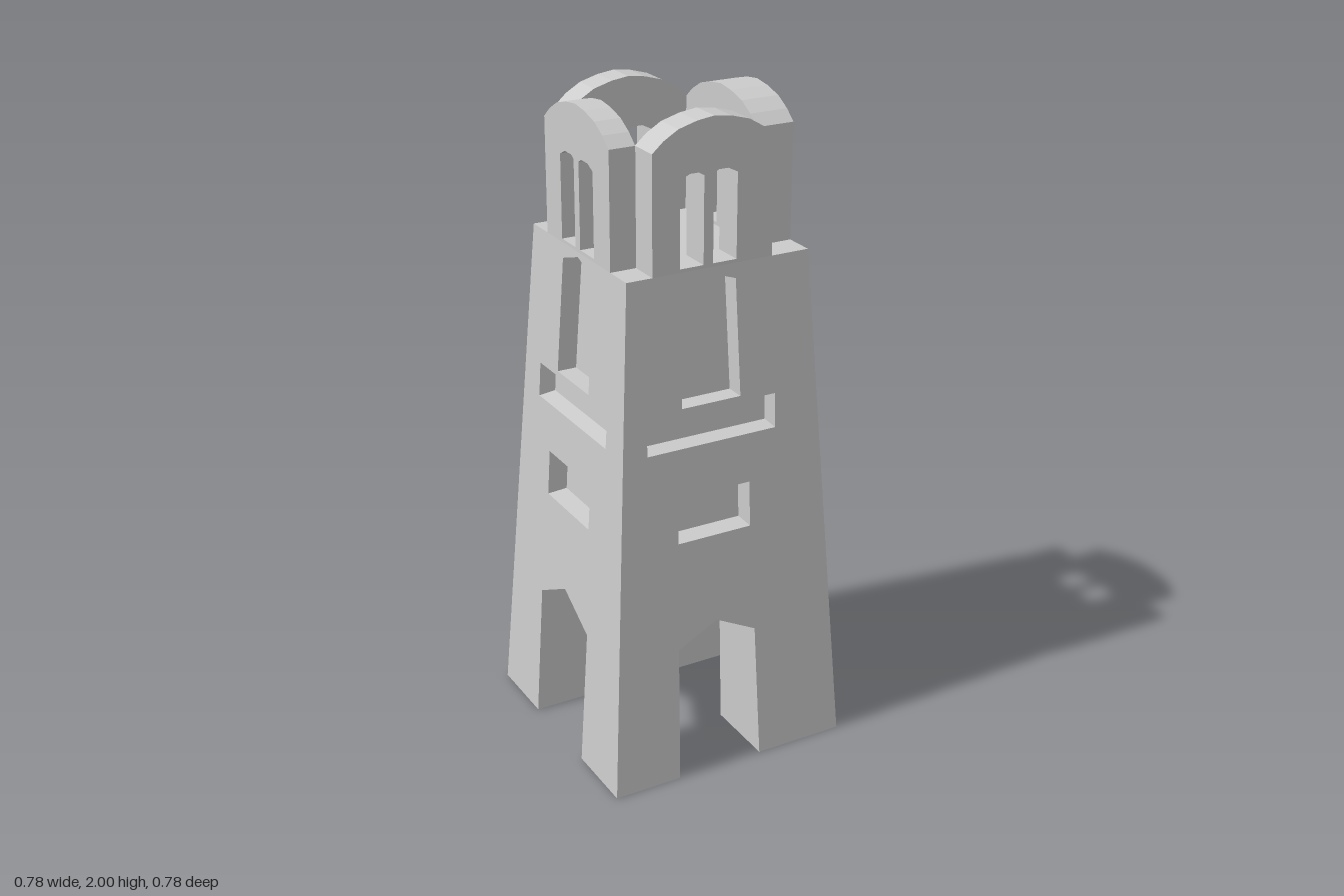
import * as THREE from 'three';

const TOP = 1.575, BASE = 0.39, NECK = 0.29;
const OFF = -0.035; // openings on front and back sit slightly off centre
const wallAt = (y) => BASE - (BASE - NECK) * y / TOP;

const mat = new THREE.MeshStandardMaterial({ color: 0xcccccc, flatShading: true });

function add(parent, name, geometry) {
  const mesh = new THREE.Mesh(geometry, mat);
  mesh.name = name;
  parent.add(mesh);
  return mesh;
}

const vecs = (pts) => pts.map(([x, y]) => new THREE.Vector2(x, y));

// Flat sheet with holes, leaned onto the tapering wall
function leaningSheet(outline, holes = [], depth = 0) {
  const shape = new THREE.Shape(vecs(outline));
  holes.forEach((h) => shape.holes.push(new THREE.Path(vecs(h))));
  const geo = new THREE.ShapeGeometry(shape);
  const p = geo.attributes.position;
  for (let i = 0; i < p.count; i++) p.setZ(i, wallAt(p.getY(i)) - depth);
  geo.computeVertexNormals();
  return geo;
}

// Strip of quads between two matching rows of points
function loft(a, b, closed) {
  const pos = [];
  const n = a.length;
  for (let i = 0; i < (closed ? n : n - 1); i++) {
    const j = (i + 1) % n;
    pos.push(...a[i], ...a[j], ...b[j], ...a[i], ...b[j], ...b[i]);
  }
  const geo = new THREE.BufferGeometry();
  geo.setAttribute('position', new THREE.Float32BufferAttribute(pos, 3));
  geo.computeVertexNormals();
  return geo;
}

const onWall = (pts, depth = 0) => pts.map(([x, y]) => [x, y, wallAt(y) - depth]);
const rect = (c, h, y0, y1) => [[c - h, y0], [c + h, y0], [c + h, y1], [c - h, y1]];

function recess(side, name, pts, depth, inset) {
  const cx = pts.reduce((s, p) => s + p[0], 0) / pts.length;
  const cy = pts.reduce((s, p) => s + p[1], 0) / pts.length;
  const inner = pts.map(([x, y]) => [x - Math.sign(x - cx) * inset * 0.6, y - Math.sign(y - cy) * inset]);
  add(side, name + 'Reveal', loft(onWall(pts), onWall(inner, depth), true));
  add(side, name + 'Back', leaningSheet(inner, [], depth));
}

function buildSide(o) {
  const side = new THREE.Group();
  side.name = o.name;
  const { c, door, cross } = o;

  // Doorway profile, right foot over the peak to left foot
  const doorway = [[c + door[0], 0], [c + door[1], 0.43], [c, o.peak], [c - door[1], 0.43], [c - door[0], 0]];
  const niche = [[c - o.niche, 1.18], [c + o.niche, 1.18], [c + o.niche - 0.008, 1.53],
    [c, 1.56], [c - o.niche + 0.008, 1.53]];
  const slot = rect(c, o.slot, 1.06, 1.165);
  const lowWindow = rect(c, o.low, 0.77, 0.91);

  add(side, 'wall', leaningSheet(
    [[BASE, 0], [NECK, TOP], [-NECK, TOP], [-BASE, 0], ...doorway.slice().reverse()],
    [niche, slot, lowWindow]));
  recess(side, 'niche', niche, 0.06, 0);
  recess(side, 'slot', slot, 0.05, 0.008);
  recess(side, 'lowWindow', lowWindow, 0.06, 0.006);

  // Half passage running in to the crossing under the tower
  const inD = [cross[0], cross[1], cross[2], cross[1], cross[0]];
  const inner = doorway.map(([x, y], i) => [x, i === 2 ? 0.505 : y, inD[i]]);
  add(side, 'passage', loft(onWall(doorway), inner, false));

  // Belfry panel with arched top and a pair of windows
  const [pc, ph] = o.panel;
  const panel = new THREE.Shape(vecs([
    [pc - ph, TOP], [pc + ph, TOP], [pc + ph, 1.92], [pc + ph * 0.82, 1.95], [pc + ph * 0.58, 1.977],
    [pc + ph * 0.28, 1.993], [pc, 2], [pc - ph * 0.28, 1.993], [pc - ph * 0.58, 1.977],
    [pc - ph * 0.82, 1.95], [pc - ph, 1.92]]));
  for (const s of [-1, 1]) {
    const a = 0.015, b = o.window;
    panel.holes.push(new THREE.Path(vecs([
      [a, 1.585], [b, 1.585], [b, 1.835], [b - 0.03, 1.85], [a + 0.015, 1.85], [a, 1.84],
    ].map(([x, y]) => [c + s * x, y]))));
  }
  const geo = new THREE.ExtrudeGeometry(panel, { depth: o.thick, bevelEnabled: false });
  add(side, 'belfryPanel', geo.translate(0, 0, NECK - o.thick));

  side.rotation.y = o.angle;
  return side;
}

export function createModel() {
  const tower = new THREE.Group();
  tower.name = 'bellTower';

  const broad = { door: [0.14, 0.13], cross: [0.155, 0.155, 0], peak: 0.495, niche: 0.095, slot: 0.21, low: 0.12, window: 0.09 };
  const flank = { c: 0, door: [0.155, 0.155], peak: 0.51, niche: 0.1, slot: 0.217, low: 0.135, window: 0.1, panel: [0, 0.197] };

  tower.add(buildSide({ ...broad, name: 'frontSide', angle: 0, c: OFF, panel: [-0.02, 0.19], thick: 0.095 }));
  tower.add(buildSide({ ...broad, name: 'backSide', angle: Math.PI, c: -OFF, panel: [0.02, 0.19], thick: 0.09 }));
  tower.add(buildSide({ ...flank, name: 'leftSide', angle: Math.PI / 2, cross: [OFF + 0.14, OFF + 0.13, OFF], thick: 0.12 }));
  tower.add(buildSide({ ...flank, name: 'rightSide', angle: -Math.PI / 2, cross: [0.14 - OFF, 0.13 - OFF, -OFF], thick: 0.08 }));

  // Belfry floor
  const floor = add(tower, 'belfryFloor', new THREE.PlaneGeometry(NECK * 2, NECK * 2).rotateX(-Math.PI / 2));
  floor.position.y = TOP;

  // Undersides of the four legs
  for (const sx of [-1, 1]) for (const sz of [-1, 1]) {
    const x0 = OFF + sx * 0.14, x1 = sx * BASE, z0 = sz * 0.155, z1 = sz * BASE;
    const foot = add(tower, 'legFoot',
      new THREE.PlaneGeometry(Math.abs(x1 - x0), Math.abs(z1 - z0)).rotateX(Math.PI / 2));
    foot.position.set((x0 + x1) / 2, 0, (z0 + z1) / 2);
  }
  return tower;
}
